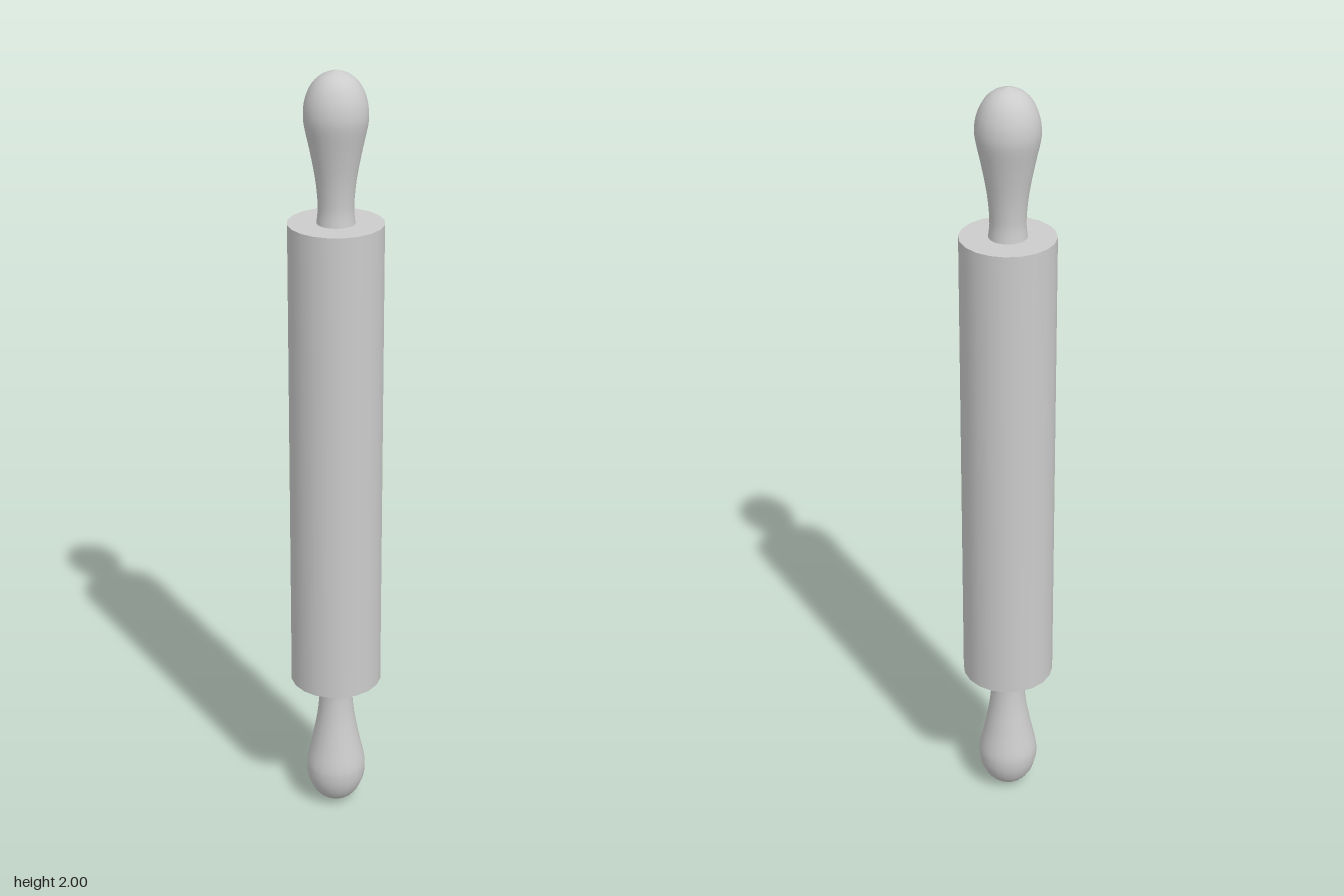
import * as THREE from 'three';

const SIDES = 20;

export function createModel() {
  const model = new THREE.Group();
  model.name = 'rollingPin';
  const wood = new THREE.MeshStandardMaterial({ color: 0xcccccc });

  // Roller: the long plain barrel
  const roller = new THREE.Mesh(new THREE.CylinderGeometry(0.118, 0.118, 1.25, SIDES), wood);
  roller.name = 'roller';
  roller.position.y = 1.005;
  model.add(roller);

  // Handle: slim neck swelling to a rounded grip; distances run from the tip inward
  const curve = new THREE.SplineCurve([
    [0.05, 0.39], [0.046, 0.36], [0.044, 0.325], [0.05, 0.26], [0.064, 0.185],
    [0.076, 0.13], [0.078, 0.1], [0.073, 0.068], [0.058, 0.035], [0.034, 0.012], [0, 0],
  ].map(([r, d]) => new THREE.Vector2(r, 1 - d)));
  const profile = curve.getPoints(30);
  profile.forEach((p) => { p.x = Math.max(p.x, 0); });
  const handleGeometry = new THREE.LatheGeometry(profile, SIDES);

  // One handle at each end, the lower one turned over
  for (const [name, turn] of [['upperHandle', 0], ['lowerHandle', Math.PI]]) {
    const handle = new THREE.Mesh(handleGeometry, wood);
    handle.name = name;
    handle.position.y = 1;
    handle.rotation.x = turn;
    model.add(handle);
  }

  return model;
}
